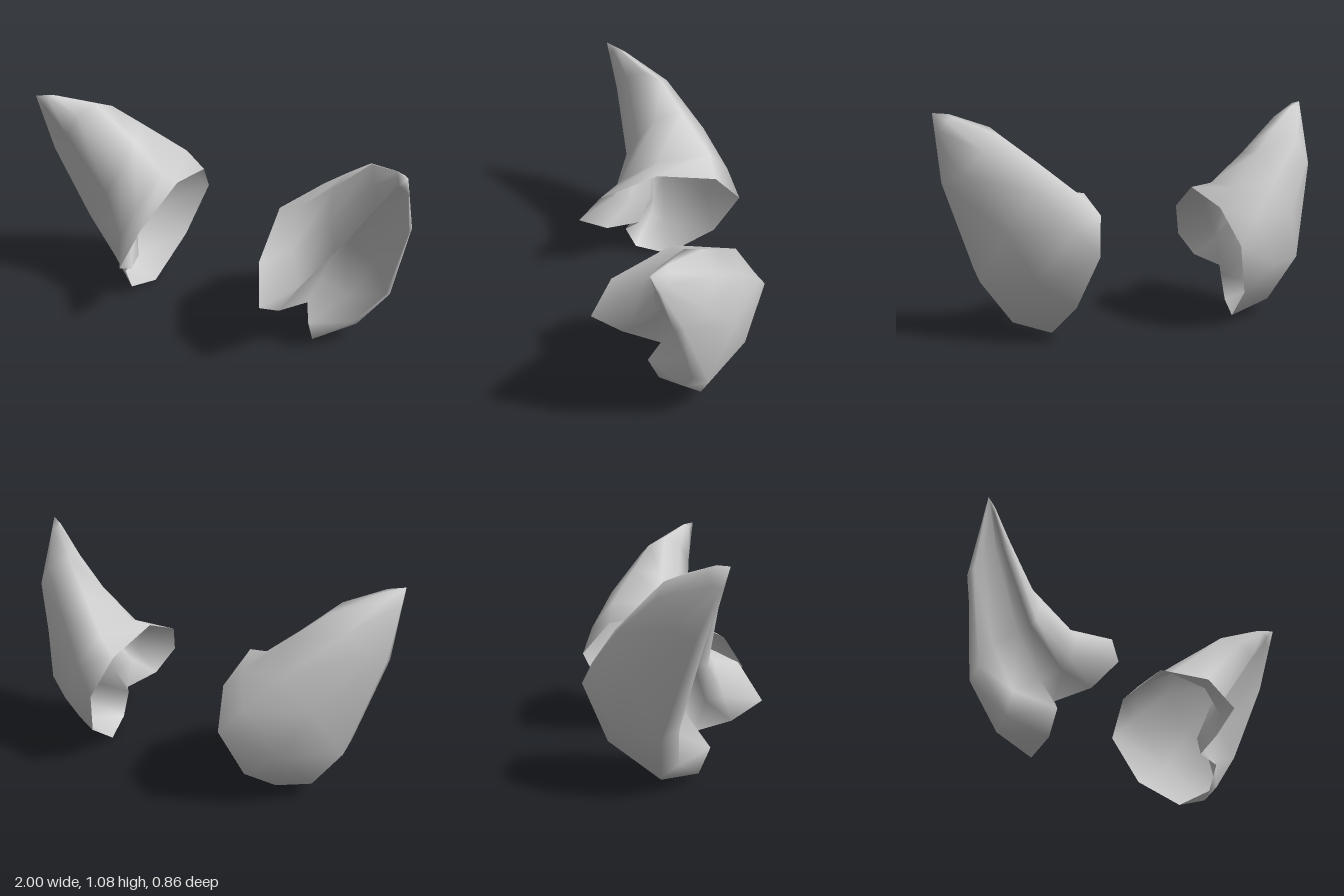
import * as THREE from 'three';

// Cross-sections of one ear, from the open base to near the tip. Each runs
// back, top, front flap (edge, undercut fold), groove, bowl, outer rim, lower back.
const base = [
  [0.36, 0.445, -0.43], [0.31, 0.615, -0.29], [0.29, 0.675, 0.02], [0.33, 0.53, 0.32],
  [0.39, 0.355, 0.43], [0.42, 0.265, 0.28], [0.49, 0.235, 0.10], [0.53, 0.165, 0.17],
  [0.53, 0.04, 0.115], [0.49, 0, -0.06], [0.44, 0.18, -0.31],
];
const lower = [
  [0.465, 0.565, -0.38], [0.40, 0.71, -0.27], [0.39, 0.695, 0], [0.44, 0.56, 0.19],
  [0.51, 0.405, 0.235], [0.49, 0.38, 0.15], [0.53, 0.35, 0.04], [0.66, 0.27, 0],
  [0.70, 0.13, 0.01], [0.69, 0.075, -0.07], [0.62, 0.31, -0.29],
];
const middle = [
  [0.62, 0.735, -0.27], [0.58, 0.865, -0.15], [0.56, 0.84, 0], [0.585, 0.71, 0.09],
  [0.645, 0.585, 0.145], [0.63, 0.59, 0.08], [0.66, 0.57, 0.02], [0.78, 0.48, -0.01],
  [0.86, 0.34, 0], [0.85, 0.29, -0.08], [0.75, 0.54, -0.215],
];
const upper = [
  [0.83, 0.92, -0.10], [0.72, 0.98, -0.06], [0.76, 1.02, 0.03], [0.81, 0.97, 0.12],
  [0.85, 0.88, 0.17], [0.84, 0.885, 0.13], [0.86, 0.87, 0.10], [0.93, 0.82, 0.09],
  [0.985, 0.75, 0.10], [0.985, 0.76, 0.06], [0.92, 0.80, -0.045],
];
const tip = [1, 1.08, 0.205];

// Last section: the upper one drawn towards the tip, slightly rounded on top
const nearTip = upper.map(p => p.map((v, k) =>
  THREE.MathUtils.lerp(v, tip[k], 0.7) + (k === 1 && p[1] > 0.9 ? 0.015 : 0)));

const rings = [base, lower, middle, upper, nearTip];
const lobe = [7, 8]; // strips of the bowl and rim, split the other way to stay convex

// Skin the sections into a smooth open shell; side is +1 or -1 in x
function earGeometry(side) {
  const n = base.length;
  const positions = [...rings.flat(), tip].flatMap(([x, y, z]) => [x * side, y, z]);
  const index = [];
  const face = (a, b, c) => index.push(...(side > 0 ? [a, b, c] : [a, c, b]));
  for (let r = 0; r < rings.length; r++) {
    for (let s = 0; s < n; s++) {
      const a = r * n + s, b = r * n + (s + 1) % n;
      if (r === rings.length - 1) {
        face(a, b, rings.length * n);
      } else if (lobe.includes(s)) {
        face(a, b, b + n);
        face(a, b + n, a + n);
      } else {
        face(a, b, a + n);
        face(b, b + n, a + n);
      }
    }
  }
  const geometry = new THREE.BufferGeometry();
  geometry.setAttribute('position', new THREE.Float32BufferAttribute(positions, 3));
  geometry.setIndex(index);
  geometry.computeVertexNormals();
  return geometry;
}

export function createModel() {
  const group = new THREE.Group();
  group.name = 'ears';
  const material = new THREE.MeshStandardMaterial({ color: 0xcccccc, side: THREE.DoubleSide });
  for (const [name, side] of [['leftEar', 1], ['rightEar', -1]]) {
    const ear = new THREE.Mesh(earGeometry(side), material);
    ear.name = name;
    group.add(ear);
  }
  return group;
}
